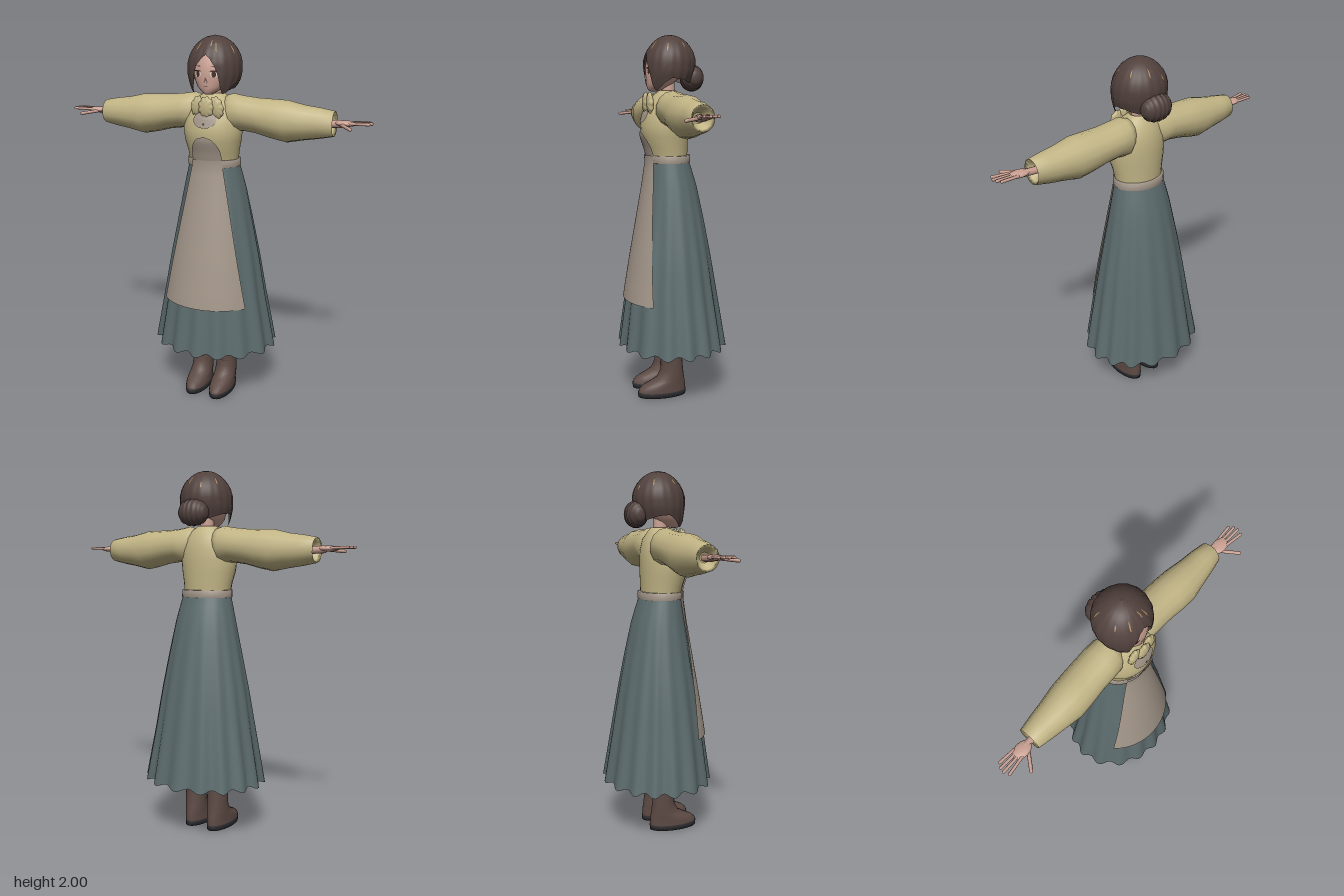
import * as THREE from 'three';

const mat = (name, color, side = THREE.DoubleSide) => {
  const m = new THREE.MeshStandardMaterial({ color, side });
  m.name = name;
  return m;
};

// Linear lookup in rows keyed by their first column (ascending)
function at(rows, k) {
  if (k <= rows[0][0]) return rows[0];
  for (let i = 1; i < rows.length; i++) {
    const a = rows[i - 1], b = rows[i];
    if (k <= b[0]) return a.map((n, j) => n + (b[j] - n) * (k - a[0]) / (b[0] - a[0]));
  }
  return rows[rows.length - 1];
}

// Grid surface from fn(u, v) -> [x, y, z]; closed wraps u
function surface(fn, nu, nv, closed = true) {
  const cols = closed ? nu : nu + 1, pos = [], idx = [];
  for (let j = 0; j <= nv; j++)
    for (let i = 0; i < cols; i++) pos.push(...fn(i / nu, j / nv));
  for (let j = 0; j < nv; j++)
    for (let i = 0; i < nu; i++) {
      const a = j * cols + i, b = j * cols + (i + 1) % cols;
      idx.push(a, b, b + cols, a, b + cols, a + cols);
    }
  const g = new THREE.BufferGeometry();
  g.setAttribute('position', new THREE.Float32BufferAttribute(pos, 3));
  g.setIndex(idx);
  g.computeVertexNormals();
  return g;
}

// Point on an oval cross-section row [y, halfWidth, zBack, zFront]
function oval(rows, a, y, off = 0, k = 1) {
  const [, rx, zb, zf] = at(rows, y);
  return [(rx * k + off) * Math.sin(a), y, (zb + zf) / 2 + ((zf - zb) / 2 * k + off) * Math.cos(a)];
}
const frontZ = (rows, x, y) => {
  const [, rx, zb, zf] = at(rows, y);
  return (zb + zf) / 2 + (zf - zb) / 2 * Math.sqrt(Math.max(0, 1 - (x / rx) ** 2));
};
const loft = (rows, n = 24) => surface((u, v) => {
  const r = rows[Math.round(v * (rows.length - 1))];
  return oval([r], u * Math.PI * 2, r[0]);
}, n, rows.length - 1);

// Thin oval plate that hugs the front of a lofted body
const plate = (rows, cx, cy, w, h, off) => surface((u, v) => {
  const a = -u * Math.PI * 2, x = cx + v * w * Math.cos(a), y = cy + v * h * Math.sin(a);
  return [x, y, frontZ(rows, x, y) + off];
}, 16, 3);

// Capsule between two points
function limb(p, q, r) {
  const a = new THREE.Vector3(...p), b = new THREE.Vector3(...q), d = b.clone().sub(a);
  const g = new THREE.CapsuleGeometry(r, d.length(), 4, 8);
  g.applyQuaternion(new THREE.Quaternion().setFromUnitVectors(new THREE.Vector3(0, 1, 0), d.normalize()));
  return g.translate(...a.add(b).multiplyScalar(0.5).toArray());
}

function mirrored(g) {
  const m = g.clone().scale(-1, 1, 1), i = m.index.array;
  for (let k = 0; k < i.length; k += 3) [i[k], i[k + 1]] = [i[k + 1], i[k]];
  return m;
}

export function createModel() {
  const root = new THREE.Group();
  const skin = mat('skin', 0xcba193), hair = mat('hair brown', 0x51413d), blouse = mat('blouse yellow', 0xc1b485);
  const apron = mat('apron taupe', 0xa39689), skirt = mat('skirt slate', 0x5c6b6d), leather = mat('boot brown', 0x5d4a44);
  const sole = mat('sole charcoal', 0x333337), gold = mat('trim tan', 0xa88a5e), dark = mat('eye brown', 0x4a2f28), white = mat('eye white', 0xe6dcd6);
  const add = (name, g, m) => {
    const mesh = new THREE.Mesh(g, m);
    mesh.name = name;
    root.add(mesh);
    return mesh;
  };
  const pair = (name, g, m) => { add('left ' + name, g, m); add('right ' + name, mirrored(g), m); };

  // Skirt with folds that deepen toward the hem
  const skirtRows = [[0.29, 0.342, -0.295, 0.295], [0.6, 0.285, -0.245, 0.255], [0.8, 0.252, -0.212, 0.222],
    [1.0, 0.213, -0.175, 0.187], [1.2, 0.172, -0.132, 0.152], [1.34, 0.138, -0.088, 0.132]];
  add('skirt', surface((u, v) => {
    const a = u * Math.PI * 2, t = 1 - v, wave = Math.cos(16 * a + 0.6 * Math.sin(3 * a));
    const y = 0.296 + 1.04 * v - 0.01 * wave * t ** 6;
    return oval(skirtRows, a, y, 0, 1 + 0.034 * t * wave);
  }, 112, 14), skirt);

  // Blouse body
  const torso = [[1.33, 0.134, -0.082, 0.13], [1.4, 0.142, -0.084, 0.148], [1.46, 0.156, -0.086, 0.168], [1.52, 0.163, -0.086, 0.172],
    [1.58, 0.155, -0.084, 0.156], [1.64, 0.13, -0.07, 0.13], [1.68, 0.09, -0.045, 0.1], [1.705, 0.05, -0.025, 0.07]];
  add('blouse body', loft(torso, 28), blouse);
  add('waistband', loft([[1.318, 0.14, -0.09, 0.135], [1.32, 0.148, -0.098, 0.142], [1.358, 0.146, -0.098, 0.145], [1.36, 0.134, -0.084, 0.135]], 28), apron);

  // Apron panel and rounded bib
  const panelWidth = [[0.56, 0.24], [1.0, 0.152], [1.34, 0.085]];
  add('apron panel', surface((u, v) => {
    const y = 0.56 + 0.8 * v, x = (u * 2 - 1) * at(panelWidth, y)[1];
    return [x, y, Math.max(frontZ(skirtRows, x, y), y > 1.31 ? frontZ(torso, x, y) : 0) + 0.014];
  }, 24, 20, false), apron);
  add('apron bib', surface((u, v) => {
    const y = 1.34 + 0.15 * v, w = 0.085 * Math.sqrt(1 - Math.max(0, (v - 0.35) / 0.65) ** 2) * (1 - 0.08 * v);
    const x = (u * 2 - 1) * w;
    return [x, y, frontZ(torso, x, y) + 0.008];
  }, 12, 12, false), apron);

  // Neckline inset, button and ruffled cravat
  add('neckline inset', plate(torso, 0, 1.575, 0.066, 0.042, 0.007), apron);
  add('button', plate(torso, 0, 1.555, 0.006, 0.006, 0.011), dark);
  const ruffle = (x, y, w, h, z, tilt) => surface((u, v) => {
    const a = u * Math.PI * 2, r = Math.sin(v * Math.PI), k = 1 + 0.07 * Math.cos(a * 9);
    const px = r * w * k * Math.cos(a), py = r * h * k * Math.sin(a);
    return [x + px - py * tilt, y + py, z - 0.018 * Math.cos(v * Math.PI)];
  }, 45, 10);
  add('cravat left ruffle', ruffle(0.058, 1.64, 0.038, 0.056, 0.135, 0.15), blouse);
  add('cravat right ruffle', ruffle(-0.05, 1.645, 0.034, 0.05, 0.135, -0.15), blouse);
  add('cravat centre', ruffle(0.005, 1.64, 0.042, 0.055, 0.147, 0), blouse);

  // Full sleeves turned in at the cuff: [x, top, bottom, back, front]
  const sleeve = [[0.05, 1.66, 1.58, -0.01, 0.05], [0.075, 1.695, 1.53, -0.055, 0.095], [0.11, 1.705, 1.5, -0.073, 0.118],
    [0.17, 1.695, 1.51, -0.076, 0.122], [0.25, 1.687, 1.5, -0.075, 0.122], [0.33, 1.685, 1.48, -0.074, 0.128],
    [0.41, 1.683, 1.465, -0.07, 0.13], [0.5, 1.663, 1.483, -0.055, 0.115], [0.58, 1.653, 1.495, -0.045, 0.102],
    [0.655, 1.64, 1.51, -0.032, 0.088], [0.64, 1.628, 1.522, -0.02, 0.076], [0.6, 1.6, 1.55, 0.01, 0.06]];
  pair('sleeve', surface((u, v) => {
    const [x, t, b, zb, zf] = sleeve[Math.round(v * (sleeve.length - 1))], a = u * Math.PI * 2;
    return [x, (t + b) / 2 + (t - b) / 2 * Math.cos(a), (zb + zf) / 2 + (zf - zb) / 2 * Math.sin(a)];
  }, 14, sleeve.length - 1), blouse);

  // Hands
  pair('wrist', limb([0.6, 1.573, 0.035], [0.69, 1.578, 0.036], 0.019), skin);
  pair('palm', new THREE.SphereGeometry(1, 16, 10).scale(0.056, 0.015, 0.036).translate(0.715, 1.582, 0.04), skin);
  [[0.013, 0.826, 0.008], [0.031, 0.84, 0.029], [0.048, 0.845, 0.052], [0.064, 0.835, 0.08]].forEach(([z0, x, z1], i) =>
    pair('finger ' + (i + 1), limb([0.738, 1.585, z0], [x, 1.588, z1], 0.0075), skin));
  pair('thumb', limb([0.695, 1.577, 0.06], [0.757, 1.568, 0.138], 0.009), skin);

  // Neck, head and nose
  add('neck', new THREE.CylinderGeometry(0.036, 0.04, 0.13, 16).translate(0, 1.715, 0.022), skin);
  const head = [[1.7, 0.001, 0.1, 0.102], [1.703, 0.02, 0.07, 0.125], [1.718, 0.044, 0.04, 0.135], [1.74, 0.07, 0, 0.14],
    [1.78, 0.094, -0.05, 0.144], [1.83, 0.106, -0.07, 0.145], [1.9, 0.1, -0.065, 0.13], [1.95, 0.06, -0.03, 0.08]];
  add('head', loft(head, 28), skin);
  add('nose', new THREE.ConeGeometry(0.009, 0.026, 8).rotateX(0.35).translate(0, 1.779, 0.145), skin);

  // Face details
  pair('eye white', plate(head, 0.045, 1.808, 0.02, 0.016, 0.002), white);
  pair('iris', plate(head, 0.044, 1.808, 0.011, 0.016, 0.004), dark);
  pair('upper lash', plate(head, 0.046, 1.824, 0.022, 0.004, 0.005), dark);
  pair('eyebrow', plate(head, 0.045, 1.848, 0.02, 0.002, 0.003), dark);
  add('mouth', plate(head, 0, 1.744, 0.012, 0.0018, 0.002), dark);

  // Hair shell: parted fringe, long front locks, nape line
  const hairRows = [[1.69, 0.1, -0.075, 0.138], [1.74, 0.126, -0.1, 0.15], [1.8, 0.144, -0.122, 0.156], [1.86, 0.145, -0.129, 0.155],
    [1.9, 0.135, -0.12, 0.143], [1.93, 0.119, -0.105, 0.127], [1.96, 0.094, -0.08, 0.102], [1.98, 0.068, -0.055, 0.077],
    [1.993, 0.04, -0.028, 0.05], [2.0, 0.001, 0.009, 0.011]];
  const hairline = [[0, 1.905], [10, 1.885], [20, 1.85], [28, 1.8], [35, 1.745], [45, 1.705], [55, 1.712], [70, 1.745], [85, 1.77], [110, 1.765], [150, 1.74], [180, 1.73]];
  add('hair', surface((u, v) => {
    const a = (u * 2 - 1) * Math.PI, yb = at(hairline, Math.abs(a) * 180 / Math.PI)[1];
    const y = yb + (2 - yb) * Math.sin(v * Math.PI / 2);
    return oval(hairRows, a, y, 0, 1 + 0.012 * (1 - v) * Math.cos(a * 18));
  }, 108, 18), hair);

  // Bun with rolled ridges
  add('hair bun', surface((u, v) => {
    const a = u * Math.PI * 2, c = -Math.cos(v * Math.PI), k = Math.sin(v * Math.PI) ** 0.8 * (0.9 + 0.1 * Math.abs(Math.cos(c * Math.PI * 3)));
    return [0.086 * c, 1.773 + 0.073 * k * Math.cos(a), -0.113 + 0.063 * k * Math.sin(a)];
  }, 28, 40), hair);

  // Fine light strands across the crown: [angle, low, high]
  [[-28, 1.925, 1.965], [24, 1.92, 1.965], [10, 1.945, 1.975], [-62, 1.93, 1.955], [70, 1.91, 1.95], [118, 1.93, 1.96],
    [-120, 1.92, 1.955], [165, 1.925, 1.965], [-160, 1.9, 1.93]].forEach(([deg, lo, hi], i) =>
    add('hair strand ' + (i + 1), surface((u, v) =>
      oval(hairRows, deg * Math.PI / 180 + (u - 0.5) * 0.06 * Math.sin(Math.PI * (0.1 + 0.8 * v)), lo + (hi - lo) * v, 0.003),
    2, 6, false), gold));

  // Boots
  const boot = [[0.025, 0.062, -0.06, 0.214], [0.045, 0.062, -0.06, 0.21], [0.065, 0.061, -0.058, 0.185], [0.085, 0.06, -0.055, 0.14],
    [0.105, 0.059, -0.051, 0.106], [0.15, 0.058, -0.045, 0.083], [0.21, 0.059, -0.04, 0.082], [0.266, 0.06, -0.036, 0.085]];
  const bootParts = [
    ['boot', loft(boot), leather],
    ['boot rim', loft([[0.262, 0.061, -0.037, 0.086], [0.277, 0.061, -0.037, 0.086], [0.277, 0.052, -0.028, 0.077], [0.255, 0.001, 0.02, 0.022]]), gold],
    ['boot sole', loft([[0, 0.001, 0.07, 0.072], [0, 0.062, -0.061, 0.214], [0.028, 0.064, -0.063, 0.217], [0.03, 0.058, -0.055, 0.205]]), sole],
    ['lower lace', plate(boot, 0, 0.185, 0.032, 0.003, 0.003), dark],
    ['upper lace', plate(boot, 0, 0.215, 0.032, 0.003, 0.003), dark],
  ];
  for (const [name, g, m] of bootParts) pair(name, g.translate(0.073, 0, 0), m);

  return root;
}
